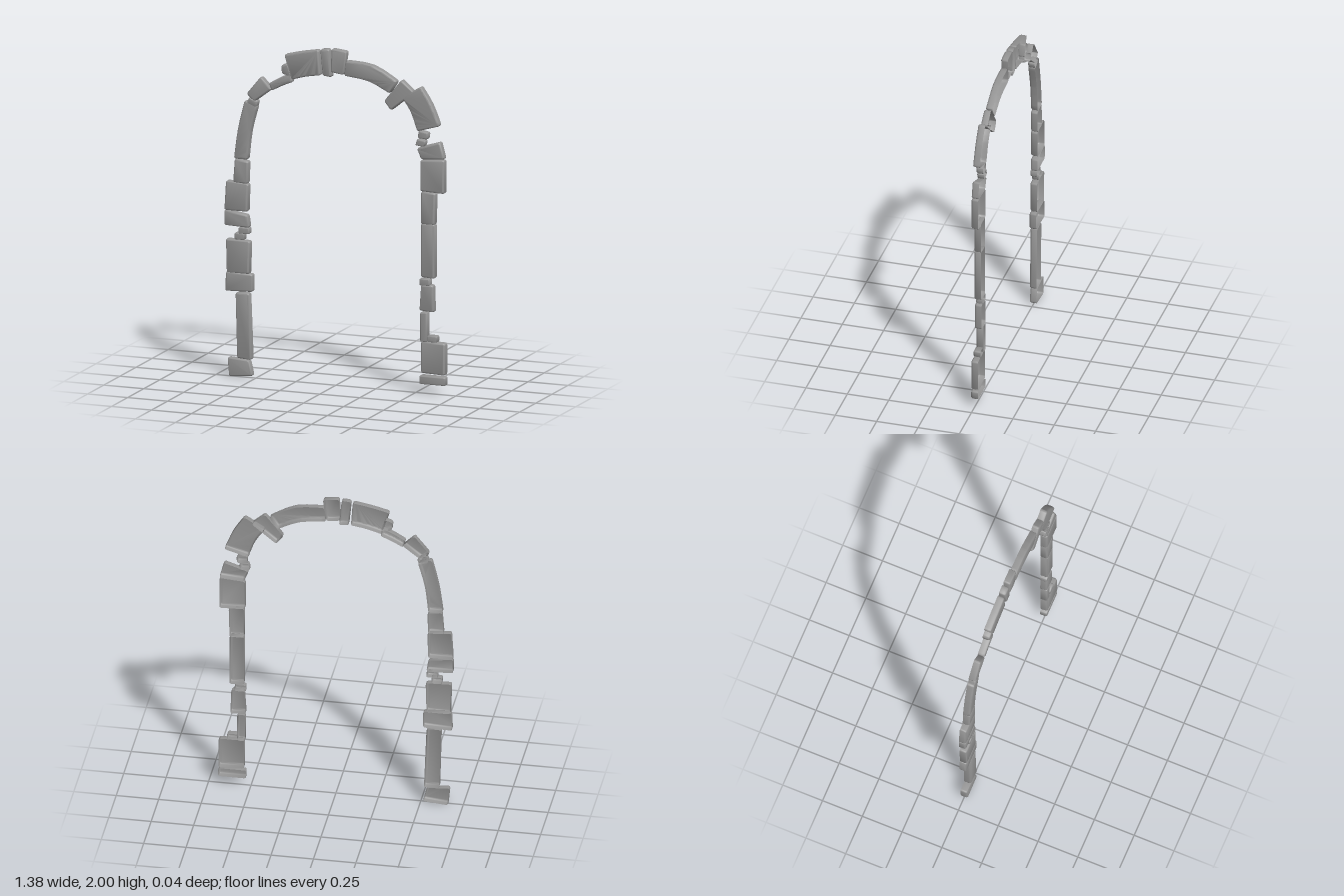
import * as THREE from 'three';
import { mergeVertices, toCreasedNormals } from 'three/addons/utils/BufferGeometryUtils.js';

const BACK = -0.021, SHOULDER = 0.008, FRONT = 0.021;

// Outline with softly rounded corners, running counter-clockwise
function roundedOutline(corners, radius) {
  const n = corners.length, out = [];
  corners.forEach((c, i) => {
    const toward = (p) => {
      const d = p.clone().sub(c);
      return c.clone().addScaledVector(d.normalize(), Math.min(radius, c.distanceTo(p) * 0.3));
    };
    const a = toward(corners[(i + n - 1) % n]), b = toward(corners[(i + 1) % n]);
    out.push(...new THREE.QuadraticBezierCurve(a, c, b).getPoints(3));
  });
  return out;
}

// Move every outline point inward (or outward if negative) along its averaged edge normal
function inset(pts, d) {
  const n = pts.length;
  return pts.map((p, i) => {
    const t = pts[(i + 1) % n].clone().sub(pts[(i + n - 1) % n]).normalize();
    return new THREE.Vector2(p.x - t.y * d, p.y + t.x * d);
  });
}

// Facing stone: side walls, softly bevelled shoulder and front panel, open at the back
function shell(corners) {
  const xs = corners.map((p) => p.x), ys = corners.map((p) => p.y);
  const size = Math.min(Math.max(...xs) - Math.min(...xs), Math.max(...ys) - Math.min(...ys));
  const outline = inset(roundedOutline(corners, Math.min(0.01, size * 0.18)), -0.003);
  const n = outline.length, pos = [], idx = [];
  const bevel = Math.min(0.007, size * 0.12);
  const rings = [[outline, BACK], [outline, SHOULDER], [inset(outline, bevel * 0.35), 0.016],
    [inset(outline, bevel), 0.0205], [inset(outline, bevel * 1.6), FRONT]];
  rings.forEach(([pts, z]) => pts.forEach((p) => pos.push(p.x, p.y, z)));
  for (let r = 0; r < rings.length - 1; r++) {
    for (let i = 0; i < n; i++) {
      const a = r * n + i, b = r * n + (i + 1) % n;
      idx.push(a, b, b + n, a, b + n, a + n);
    }
  }
  const top = (rings.length - 1) * n;
  THREE.ShapeUtils.triangulateShape(rings[rings.length - 1][0], [])
    .forEach((f) => idx.push(...f.map((k) => k + top)));
  const g = new THREE.BufferGeometry();
  g.setAttribute('position', new THREE.Float32BufferAttribute(pos, 3));
  g.setIndex(idx);
  return toCreasedNormals(mergeVertices(g), 0.9);
}

const points = (a) => {
  const out = [];
  for (let i = 0; i < a.length; i += 2) out.push(new THREE.Vector2(a[i], a[i + 1]));
  return out;
};

export function createModel() {
  const group = new THREE.Group();
  const material = new THREE.MeshStandardMaterial({ color: 0x959595, side: THREE.DoubleSide });

  const add = (name, corners) => {
    const mesh = new THREE.Mesh(shell(corners), material);
    mesh.name = name;
    group.add(mesh);
  };
  // Four-cornered stone: bottom left, bottom right, top right, top left
  const quad = (name, ...c) => add(name, points(c));
  // Upright stone given by its extents
  const block = (name, x0, x1, y0, y1) => quad(name, x0, y0, x1, y0, x1, y1, x0, y1);
  // Curved stone between two smooth edges
  const curved = (name, edgeA, edgeB) => {
    const smooth = (e) => new THREE.SplineCurve(points(e)).getPoints(6);
    add(name, [...smooth(edgeA), ...smooth(edgeB).reverse()]);
  };

  // Right leg, bottom to top
  quad('rightFootStone', -0.66, 0.002, -0.52, 0.015, -0.54, 0.1, -0.67, 0.11);
  quad('rightTallStone', -0.61, 0.115, -0.525, 0.11, -0.54, 0.5, -0.62, 0.5);
  quad('rightLedgeStone', -0.685, 0.51, -0.52, 0.515, -0.52, 0.615, -0.68, 0.62);
  quad('rightLowerBlock', -0.675, 0.62, -0.54, 0.62, -0.535, 0.81, -0.68, 0.815);
  block('rightChip', -0.625, -0.57, 0.82, 0.855);
  block('rightChip', -0.6, -0.54, 0.857, 0.89);
  quad('rightWedge', -0.69, 0.9, -0.54, 0.895, -0.55, 0.965, -0.69, 0.985);
  quad('rightUpperBlock', -0.69, 0.99, -0.55, 0.99, -0.545, 1.15, -0.68, 1.16);
  quad('rightNeckStone', -0.635, 1.16, -0.55, 1.155, -0.545, 1.285, -0.625, 1.295);
  curved('rightSpringer', [-0.55, 1.3, -0.53, 1.47, -0.49, 1.62], [-0.63, 1.3, -0.605, 1.48, -0.565, 1.645]);
  quad('rightChip', -0.55, 1.635, -0.495, 1.615, -0.485, 1.65, -0.535, 1.67);

  // Arch, right to left
  quad('archWedge', -0.55, 1.69, -0.505, 1.65, -0.4, 1.73, -0.465, 1.795);
  curved('archThinStone', [-0.395, 1.725, -0.335, 1.757, -0.27, 1.785], [-0.41, 1.762, -0.345, 1.8, -0.28, 1.83]);
  quad('archChip', -0.33, 1.83, -0.275, 1.815, -0.295, 1.89, -0.335, 1.875);
  curved('archLargeStone', [-0.27, 1.8, -0.185, 1.825, -0.095, 1.84], [-0.315, 1.94, -0.215, 1.965, -0.105, 1.985]);
  quad('crownSliver', -0.075, 1.84, -0.025, 1.835, -0.04, 1.995, -0.09, 1.99);
  quad('crownStone', -0.025, 1.865, 0.05, 1.855, 0.07, 1.99, -0.02, 1.999);
  curved('archLongStone', [0.06, 1.85, 0.21, 1.83, 0.34, 1.77], [0.07, 1.935, 0.235, 1.92, 0.385, 1.84]);
  quad('archCrossStone', 0.31, 1.72, 0.35, 1.67, 0.49, 1.785, 0.415, 1.85);
  curved('archShoulder', [0.42, 1.75, 0.475, 1.67, 0.515, 1.56], [0.535, 1.82, 0.6, 1.72, 0.65, 1.6]);

  // Left leg, top to bottom
  quad('leftChip', 0.52, 1.52, 0.575, 1.515, 0.58, 1.55, 0.525, 1.56);
  quad('leftChip', 0.505, 1.475, 0.555, 1.47, 0.565, 1.5, 0.515, 1.51);
  quad('leftWedge', 0.54, 1.395, 0.68, 1.405, 0.655, 1.5, 0.515, 1.455);
  quad('leftUpperBlock', 0.535, 1.205, 0.68, 1.2, 0.68, 1.395, 0.535, 1.385);
  quad('leftNeckStone', 0.54, 1.01, 0.62, 1.01, 0.625, 1.195, 0.54, 1.2);
  quad('leftTallStone', 0.54, 0.695, 0.62, 0.69, 0.62, 1.01, 0.54, 1.01);
  block('leftChip', 0.53, 0.59, 0.645, 0.68);
  quad('leftLowerStone', 0.53, 0.495, 0.615, 0.49, 0.61, 0.645, 0.54, 0.645);
  block('leftSliver', 0.535, 0.575, 0.31, 0.48);
  block('leftChip', 0.58, 0.635, 0.312, 0.345);
  quad('leftLowerBlock', 0.54, 0.125, 0.685, 0.12, 0.685, 0.305, 0.54, 0.31);
  block('leftFootSlab', 0.53, 0.687, 0.058, 0.105);

  return group;
}
